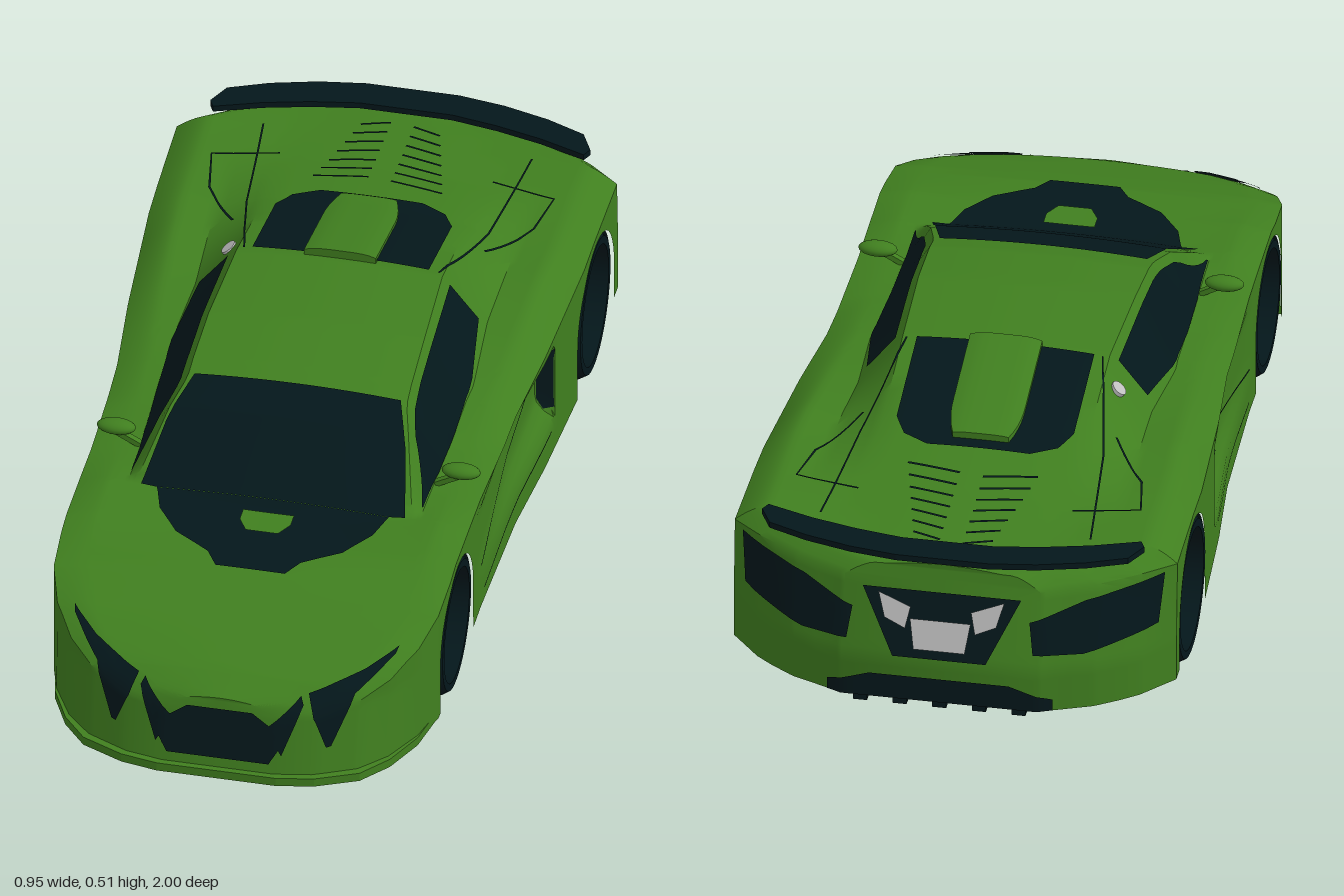
import * as THREE from 'three';
import { toCreasedNormals } from 'three/addons/utils/BufferGeometryUtils.js';

const mat = (name, color, side = THREE.FrontSide) => {
  const m = new THREE.MeshStandardMaterial({ color, side });
  m.name = name;
  return m;
};
const green = mat('paint green', 0x407f1f);
const dark = mat('dark glass and trim', 0x04171b, THREE.DoubleSide);
const black = mat('underside black', 0x020a0b);
const red = mat('brake red', 0xb5282c);
const silver = mat('silver', 0xc0c0c0);

// Linear lookup through [position, value] pairs
const tab = (pts) => {
  const p = [...pts].sort((a, b) => a[0] - b[0]);
  return (v) => {
    if (v <= p[0][0]) return p[0][1];
    for (let i = 1; i < p.length; i++) if (v <= p[i][0]) {
      return p[i - 1][1] + (p[i][1] - p[i - 1][1]) * (v - p[i - 1][0]) / (p[i][0] - p[i - 1][0]);
    }
    return p[p.length - 1][1];
  };
};
const { lerp, clamp, smoothstep } = THREE.MathUtils;

// Body rules along z: plan half width, shoulder, fender crest, deck centre, roof, roof and cabin half widths
const nose = [[0.955, 0.12], [0.94, 0.2], [0.9, 0.29], [0.85, 0.345], [0.78, 0.39], [0.7, 0.415]];
const tail = [[-0.8, 0.475], [-0.85, 0.41], [-0.9, 0.32], [-0.94, 0.22], [-0.945, 0.21]];
const W = tab([...nose, [0.6, 0.42], [0.3, 0.42], [0, 0.43], [-0.2, 0.45], [-0.5, 0.47], ...tail]);
const SH = tab([[0.955, 0.17], [0.9, 0.205], [0.8, 0.26], [0.7, 0.3], [0.55, 0.325], [0.4, 0.32], [0.1, 0.305], [-0.3, 0.325], [-0.6, 0.34], [-0.85, 0.34], [-0.945, 0.33]]);
const K = tab([[0.955, 0.195], [0.9, 0.228], [0.8, 0.275], [0.7, 0.308], [0.55, 0.338], [0.43, 0.34], [0.3, 0.325], [0.15, 0.322], [-0.1, 0.345], [-0.4, 0.38], [-0.8, 0.38], [-0.945, 0.36]]);
const C = tab([[0.955, 0.205], [0.9, 0.238], [0.75, 0.295], [0.66, 0.325], [0.6, 0.329], [0.45, 0.326], [-0.5, 0.36], [-0.7, 0.375], [-0.945, 0.362]]);
const R = tab([[0.46, 0.325], [0.43, 0.343], [0.27, 0.44], [0.14, 0.476], [0, 0.491], [-0.23, 0.488], [-0.5, 0.422], [-0.69, 0.39], [-0.9, 0.37]]);
const crestX = (z) => W(z) - Math.min(0.07, 0.3 * W(z));
const baseTab = tab([[0.43, 0.325], [0.3, 0.336], [0.1, 0.338], [-0.25, 0.315], [-0.5, 0.325], [-0.9, 0.345]]);
const roofTab = tab([[0.43, 0.3], [0.19, 0.236], [0, 0.232], [-0.23, 0.222], [-0.5, 0.22], [-0.9, 0.25]]);
const B = (z) => Math.min(baseTab(z), 0.9 * crestX(z));
const T = (z) => Math.min(roofTab(z), 0.93 * B(z));

// Height of the upper skin
const H = (x, z) => {
  const ax = Math.abs(x), w = W(z), xc = crestX(z);
  const deck = ax < xc ? lerp(C(z), K(z), (ax / xc) ** 2) : lerp(K(z), SH(z), Math.min(1, (ax - xc) / (w - xc)) ** 1.5);
  if (z > 0.46 || ax >= B(z)) return deck;
  const t = T(z), r = R(z);
  const cabin = ax < t ? r - 0.01 * (ax / t) ** 2 : lerp(r - 0.01, Math.min(deck, r - 0.01), (ax - t) / (B(z) - t));
  return Math.max(deck, cabin);
};

// Door scallop deepens towards the side intake
const scallop = tab([[0.35, 0], [-0.26, 0.04], [-0.275, 0]]);
const sideX = (z, y) => W(z) - scallop(z) * smoothstep(y, 0.1, 0.17) * (1 - smoothstep(y, 0.27, 0.305));

// Leaning nose and tail
const place = (x, y, z) => {
  const f = 0.035 * smoothstep(z, 0.7, 0.93) * clamp((0.2 - y) / 0.17, 0, 1);
  const b = 0.052 * smoothstep(-z, 0.75, 0.9) * clamp((0.36 - y) / 0.2, 0, 1);
  return new THREE.Vector3(x, y, z + f - b);
};

// Surface maps for trim pieces
const frontZ = tab(nose.map(([z, w]) => [w, z]));
const rearZ = tab(tail.map(([z, w]) => [w, z]));
const topMap = (x, z) => place(x, H(x, z), z);
const sideMap = (s) => (z, y) => place(s * sideX(z, y), y, z);
const cabinMap = (s) => (z, f) => topMap(s * lerp(T(z), B(z), f), z);
const rearMap = (x, y) => place(x, y, rearZ(Math.abs(x)));
const frontMap = (x, y) => {
  let hi = frontZ(Math.abs(x)), lo = 0.45;
  if (y > SH(hi)) {
    for (let i = 0; i < 24; i++) {
      const m = (hi + lo) / 2;
      if (H(x, m) < y) hi = m; else lo = m;
    }
  }
  return place(x, y, hi);
};

const meshOf = (name, geo, material) => {
  const m = new THREE.Mesh(geo, material);
  m.name = name;
  return m;
};
const gridGeometry = (pts, cols, rows, flip) => {
  const idx = [];
  for (let i = 0; i < cols - 1; i++) for (let j = 0; j < rows - 1; j++) {
    const a = i * rows + j, b = a + rows, c = a + 1, d = b + 1;
    idx.push(...(flip ? [a, c, b, b, c, d] : [a, b, c, b, d, c]));
  }
  const g = new THREE.BufferGeometry().setFromPoints(pts);
  g.setIndex(idx);
  return g;
};

// Thin plate between two polylines, laid on a mapped surface
function patch(name, A, Bl, map, material, off = 0.005, nu = 6, nv = 8) {
  const pts = [], e = 0.0008;
  let cols = 0, flip = false;
  for (let s = 0; s < A.length - 1; s++) for (let k = s ? 1 : 0; k <= nu; k++, cols++) {
    const at = (L, c) => lerp(L[s][c], L[s + 1][c], k / nu);
    for (let j = 0; j <= nv; j++) {
      const u = lerp(at(A, 0), at(Bl, 0), j / nv), v = lerp(at(A, 1), at(Bl, 1), j / nv);
      const p = map(u, v);
      const n = map(u + e, v).sub(map(u - e, v)).cross(map(u, v + e).sub(map(u, v - e))).normalize();
      if (n.dot(p.clone().sub(new THREE.Vector3(0, 0.15, p.z * 0.8))) < 0) n.negate();
      pts.push(p.addScaledVector(n, off));
      if (pts.length === nv + 3) {
        const q = pts[1].clone().sub(pts[0]), r = pts[nv + 1].clone().sub(pts[0]);
        flip = r.cross(q).dot(n) < 0;
      }
    }
  }
  const g = gridGeometry(pts, cols, nv + 1, flip);
  g.computeVertexNormals();
  return meshOf(name, g, material);
}

// Narrow dark line along a polyline
function seam(name, P, map, width = 0.005) {
  const Q = P.map((p, i) => {
    const a = P[Math.max(0, i - 1)], b = P[Math.min(P.length - 1, i + 1)];
    const l = Math.hypot(b[0] - a[0], b[1] - a[1]);
    return [p[0] - (b[1] - a[1]) / l * width, p[1] + (b[0] - a[0]) / l * width];
  });
  return patch(name, P, Q, map, dark, 0.003, 6, 1);
}

const axles = [{ z: 0.53, r: 0.151, x: 0.349, h: 0.069, arch: 0.153 }, { z: -0.61, r: 0.159, x: 0.385, h: 0.085, arch: 0.161 }];

function bodyShell() {
  const sill = (z) => {
    for (const a of axles) {
      const d = Math.abs(z - a.z);
      if (d <= a.arch + 1e-6) return a.r + Math.sqrt(Math.max(0, a.arch ** 2 - d * d));
    }
    return z < -0.7 ? 0.06 : 0.03;
  };
  let zs = [...nose, ...tail].map((p) => p[0]).concat([0.66, 0.46, 0.43, 0.27, 0.14, 0, -0.23, -0.26, -0.275, -0.5]);
  for (let z = 0.93; z > -0.93; z -= 0.025) zs.push(z);
  for (const a of axles) {
    for (let i = 0; i <= 24; i++) zs.push(a.z + a.arch * Math.cos(i / 24 * Math.PI));
    zs.push(a.z + a.arch + 0.001, a.z - a.arch - 0.001);
  }
  zs = zs.sort((a, b) => b - a).filter((z, i, l) => !i || l[i - 1] - z > 0.0004);
  const section = (z) => {
    const half = [], w = W(z);
    for (let i = 0; i <= 14; i++) {
      const y = lerp(sill(z), SH(z), i / 14);
      half.push([sideX(z, y), y]);
    }
    const stops = [w, crestX(z), B(z), T(z), 0];
    for (let s = 0; s < 4; s++) for (let k = 1; k <= 5; k++) {
      const x = lerp(stops[s], stops[s + 1], k / 5);
      half.push([x, H(x, z)]);
    }
    return half.concat(half.slice(0, -1).reverse().map(([x, y]) => [-x, y]));
  };
  const last = zs[zs.length - 1], pts = [];
  const add = (z, k) => section(z).forEach(([x, y]) => pts.push(place(x * k, y, z)));
  add(zs[0], 0); // closed nose
  zs.forEach((z) => add(z, 1));
  add(last, 0); // closed tail
  const g = gridGeometry(pts, zs.length + 2, section(0).length, false);
  return meshOf('bodyShell', toCreasedNormals(g, 0.55), green);
}

// Flat plate cut from a plan outline
const plate = (name, pts, top, depth, material) => {
  const g = new THREE.ExtrudeGeometry(new THREE.Shape(pts.map((p) => new THREE.Vector2(...p))), { depth, bevelEnabled: false });
  g.rotateX(Math.PI / 2).translate(0, top, 0);
  return meshOf(name, g, material);
};
const mirrorPath = (half) => half.concat([...half].reverse().map(([x, z]) => [-x, z]));
const flipX = (L) => L.map(([x, v]) => [-x, v]);

function wheel(a, s) {
  const g = new THREE.Group(), { r, h } = a;
  g.name = a.z > 0 ? 'frontWheel' : 'rearWheel';
  const prof = [[r * 0.83, -h], [r * 0.94, -h], [r, -h * 0.8], [r, h * 0.8], [r * 0.94, h], [r * 0.83, h], [r * 0.83, -h]];
  const tyre = toCreasedNormals(new THREE.LatheGeometry(prof.map((p) => new THREE.Vector2(...p)), 40), 0.6);
  g.add(meshOf('tyre', tyre.rotateZ(Math.PI / 2), dark));
  const disc = (name, rad, t, x, m) => g.add(meshOf(name, new THREE.CylinderGeometry(rad, rad, t, 32).rotateZ(Math.PI / 2).translate(s * x, 0, 0), m));
  disc('brakeDisc', 0.098, 0.015, -0.03, dark);
  disc('hub', 0.06, 0.02, -0.025, red);
  const caliper = new THREE.TorusGeometry(0.088, 0.013, 8, 12, 1.3).rotateZ(-0.65);
  caliper.rotateY(a.z > 0 ? Math.PI / 2 : -Math.PI / 2).scale(1.7, 1, 1).translate(-s * 0.025, 0, 0);
  g.add(meshOf('caliper', caliper, red));
  // Wheel well lining
  const out = W(a.z) - 0.006, len = out - 0.275;
  const liner = new THREE.CylinderGeometry(a.arch, a.arch, len, 24, 1, true, 0, Math.PI).rotateZ(Math.PI / 2);
  g.add(meshOf('wheelWell', liner.translate(s * (out - len / 2 - a.x), 0, 0), dark));
  g.position.set(s * a.x, r, a.z);
  return g;
}

export function createModel() {
  const car = new THREE.Group();
  car.name = 'sportsCar';
  car.add(bodyShell());

  // Underside, narrowed between the wheels
  const floor = [[0.12, 0.93], [0.24, 0.9], [0.33, 0.83], [0.385, 0.74], [0.4, 0.684], [0.282, 0.683], [0.282, 0.377], [0.42, 0.376], [0.43, 0],
    [0.465, -0.448], [0.302, -0.449], [0.302, -0.771], [0.47, -0.772], [0.43, -0.87], [0.24, -0.985]];
  car.add(patch('underbody', floor, flipX(floor), (x, z) => new THREE.Vector3(x, lerp(0.025, 0.062, clamp((-0.6 - z) / 0.2, 0, 1)), z), black, 0, 2, 2));

  // Front splitter and rear wing
  const lip = [...nose].reverse().map(([z, w]) => {
    const k = clamp((z - 0.7) / 0.2, 0, 1);
    return [w + 0.011 * k - 0.003, z + 0.045 * k];
  });
  car.add(plate('splitter', mirrorPath(lip), 0.047, 0.02, green));
  const wingBack = mirrorPath([[0.41, -0.835], [0.385, -0.885], [0.3, -0.92], [0.2, -0.947], [0.1, -0.962]]);
  const wingFront = mirrorPath([[-0.4, -0.815], [-0.3, -0.85], [-0.2, -0.875], [-0.1, -0.892]]);
  car.add(plate('rearWing', [...wingBack, ...wingFront], 0.395, 0.014, dark));

  // Glass, cowl and engine cover
  const screen = [[0.285, 0.432], [0.258, 0.3], [0.248, 0.27], [0.222, 0.185]];
  car.add(patch('windscreen', screen, flipX(screen), topMap, dark, 0.005, 6, 16));
  const cowl = [[0.25, 0.432], [0.23, 0.5], [0.18, 0.57], [0.1, 0.62], [0.075, 0.66]];
  car.add(patch('cowl', cowl, flipX(cowl), topMap, dark, 0.004, 5, 16));
  const bump = [[0.055, 0.475], [0.055, 0.51], [0.035, 0.545]];
  car.add(patch('cowlBump', bump, flipX(bump), topMap, green, 0.014));
  const bay = [[0.19, -0.24], [0.19, -0.47], [0.165, -0.52], [0.11, -0.55]];
  car.add(patch('engineCover', bay, flipX(bay), topMap, dark, 0.005, 6, 16));
  const scoop = new THREE.BoxGeometry(0.155, 0.03, 0.29, 10, 1, 14);
  const sp = scoop.attributes.position;
  for (let i = 0; i < sp.count; i++) {
    const z = sp.getZ(i) - 0.38, top = sp.getY(i) > 0, u = clamp((-z - 0.43) / 0.1, 0, 1);
    const x = sp.getX(i) * (1 - 0.25 * u * u);
    sp.setXYZ(i, x, R(z) + (top ? 0.02 - 0.008 * (x / 0.078) ** 4 : -0.02), z);
  }
  car.add(meshOf('roofScoop', toCreasedNormals(scoop, 0.6), green));

  // Front grille
  car.add(patch('grille', [[-0.14, 0.135], [-0.07, 0.182], [0.07, 0.182], [0.14, 0.135]], [[-0.14, 0.125], [-0.11, 0.07], [0.11, 0.07], [0.14, 0.125]], frontMap, dark));

  // Rear centre panel, plate and diffuser
  car.add(patch('rearPanel', [[-0.17, 0.31], [0.17, 0.31]], [[-0.1, 0.165], [0.1, 0.165]], rearMap, dark, 0.004));
  car.add(patch('numberPlate', [[-0.065, 0.25], [0.065, 0.25]], [[-0.055, 0.185], [0.055, 0.185]], rearMap, silver, 0.009));
  car.add(patch('diffuserPanel', [[-0.24, 0.09], [-0.15, 0.12], [0.15, 0.12], [0.24, 0.09]], [[-0.24, 0.063], [-0.15, 0.063], [0.15, 0.063], [0.24, 0.063]], rearMap, dark));
  for (let i = -2; i <= 2; i++) {
    const fin = meshOf('diffuserFin', new THREE.BoxGeometry(0.03, 0.045, 0.22), dark);
    fin.position.set(i * 0.085, 0.068, -0.884);
    car.add(fin);
  }

  for (const s of [1, -1]) {
    const m = (L) => L.map(([x, v]) => [s * x, v]);
    const both = (name, a, b, map, material, off) => car.add(patch(name, m(a), m(b), map, material, off));
    // Side glass and intake
    car.add(patch('sideWindow', [[0.39, 0.75], [0.25, 0.18], [0.11, 0.12], [-0.05, 0.12], [-0.225, 0.14]], [[0.39, 0.85], [0.25, 0.97], [0.11, 0.98], [-0.02, 0.95], [-0.225, 0.8]], cabinMap(s), dark));
    car.add(patch('sideIntake', [[-0.261, 0.14], [-0.261, 0.295]], [[-0.274, 0.14], [-0.274, 0.295]], sideMap(s), dark, 0.002));
    // Lamps
    both('headlight', [[0.183, 0.218], [0.29, 0.25]], [[0.225, 0.108], [0.235, 0.11]], frontMap, dark);
    both('headlightBrow', [[0.29, 0.25], [0.35, 0.275]], [[0.275, 0.215], [0.345, 0.266]], frontMap, dark, 0.004);
    both('grilleHorn', [[0.1, 0.15], [0.168, 0.214]], [[0.135, 0.09], [0.175, 0.2]], frontMap, dark, 0.004);
    both('tailLight', [[0.45, 0.332], [0.3, 0.305], [0.19, 0.265]], [[0.44, 0.22], [0.3, 0.19], [0.2, 0.195]], rearMap, dark);
    both('reverseLamp', [[0.065, 0.275], [0.135, 0.302]], [[0.075, 0.228], [0.12, 0.248]], rearMap, silver, 0.009);
    // Panel lines
    car.add(seam('doorCrease', [[0.3, 0.14], [0.1, 0.185], [-0.22, 0.25]], sideMap(s), 0.004));
    car.add(seam('skirtLine', [[0.28, 0.07], [0.1, 0.09], [-0.24, 0.1]], sideMap(s), 0.004));
    car.add(seam('fenderVent', m([[0.23, -0.7], [0.37, -0.67], [0.35, -0.56], [0.27, -0.43]]), topMap));
    car.add(seam('deckLine', m([[0.21, -0.24], [0.26, -0.5], [0.29, -0.8]]), topMap, 0.004));
    for (let i = 0; i < 7; i++) {
      const z = -0.62 - i * 0.038, x = 0.14 - i * 0.009;
      car.add(seam('louvre', m([[0.025, z - 0.012], [x, z + 0.008]]), topMap, 0.006));
    }
    // Door mirror
    const head = meshOf('mirror', new THREE.SphereGeometry(1, 20, 12), green);
    head.scale.set(0.042, 0.016, 0.022);
    head.position.set(s * 0.372, 0.362, 0.275);
    const stalk = meshOf('mirrorStalk', new THREE.BoxGeometry(0.06, 0.012, 0.014), green);
    stalk.position.set(s * 0.345, 0.342, 0.282);
    stalk.rotation.z = s * 0.5;
    car.add(head, stalk);
    for (const a of axles) car.add(wheel(a, s));
  }

  // Fuel cap on the right buttress
  const cap = meshOf('fuelCap', new THREE.CylinderGeometry(0.018, 0.018, 0.012, 20), silver);
  cap.position.set(-0.25, H(0.25, -0.29), -0.29);
  cap.rotation.z = 0.7;
  car.add(cap);
  return car;
}
